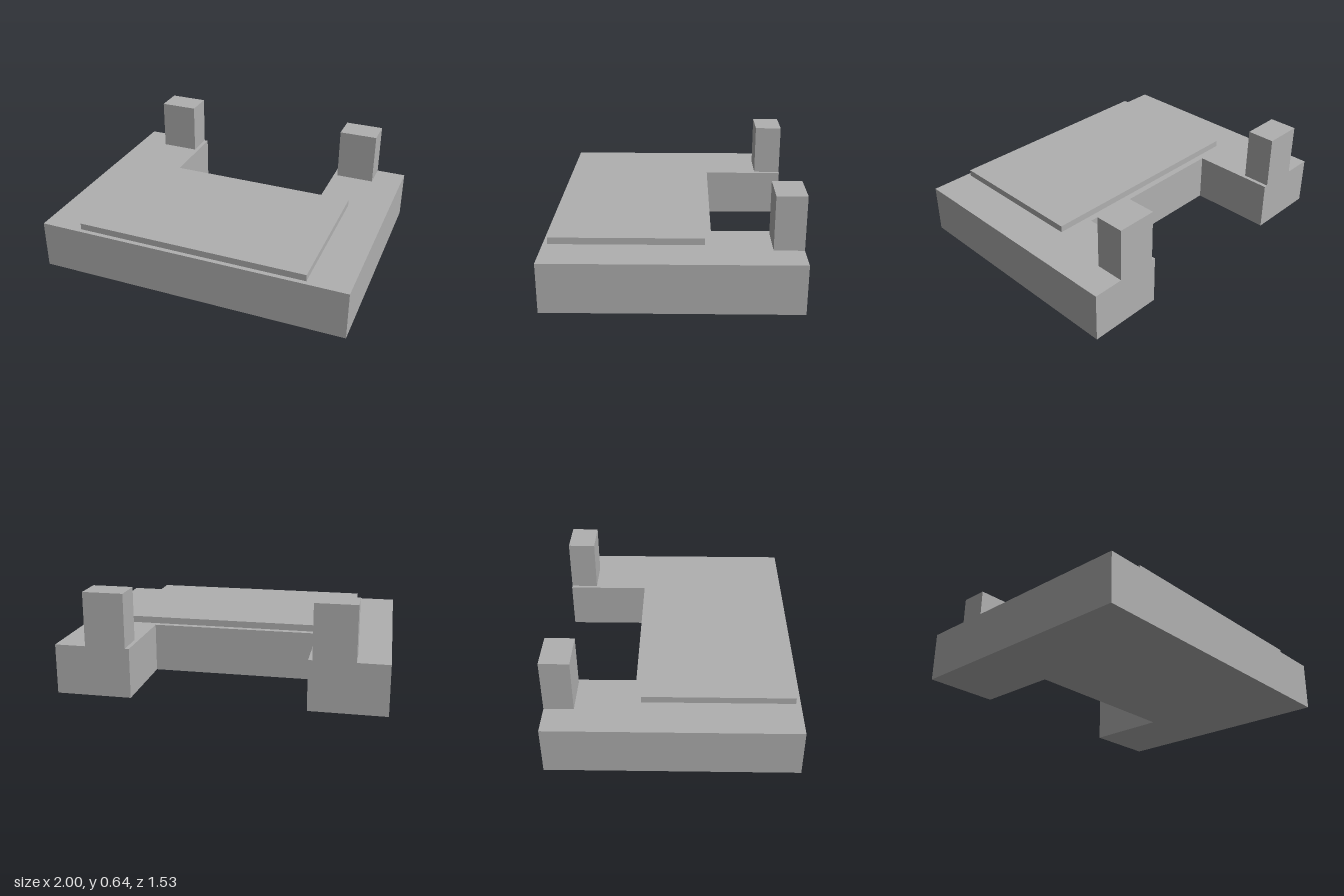
import * as THREE from 'three';

export function createModel() {
  const model = new THREE.Group();
  const grey = new THREE.MeshStandardMaterial({ color: 0xb0b0b0 });
  grey.name = 'plain grey';

  const add = (name, geometry, x = 0, y = 0, z = 0) => {
    const mesh = new THREE.Mesh(geometry, grey);
    mesh.name = name;
    mesh.position.set(x, y, z);
    model.add(mesh);
  };

  const baseTop = 0.31, back = 0.763;

  // U-shaped base slab, notched at the back (shape y becomes -z)
  const outline = new THREE.Shape([
    [-1, -back], [1, -back], [1, back], [0.533, back],
    [0.533, 0.23], [-0.533, 0.23], [-0.533, back], [-1, back],
  ].map(([x, y]) => new THREE.Vector2(x, y)));
  const slab = new THREE.ExtrudeGeometry(outline, { depth: baseTop, bevelEnabled: false });
  slab.rotateX(-Math.PI / 2);
  add('base', slab);

  // Thin raised panel on the front part
  add('raisedPanel', new THREE.BoxGeometry(1.48, 0.042, 0.924), 0, baseTop + 0.021, 0.272);

  // Posts at the back end of each arm
  const postHeight = 0.335, postDepth = 0.18;
  for (const side of [-1, 1]) {
    add(side > 0 ? 'leftPost' : 'rightPost',
      new THREE.BoxGeometry(0.25, postHeight, postDepth),
      side * 0.683, baseTop + postHeight / 2, -back + postDepth / 2);
  }

  return model;
}
